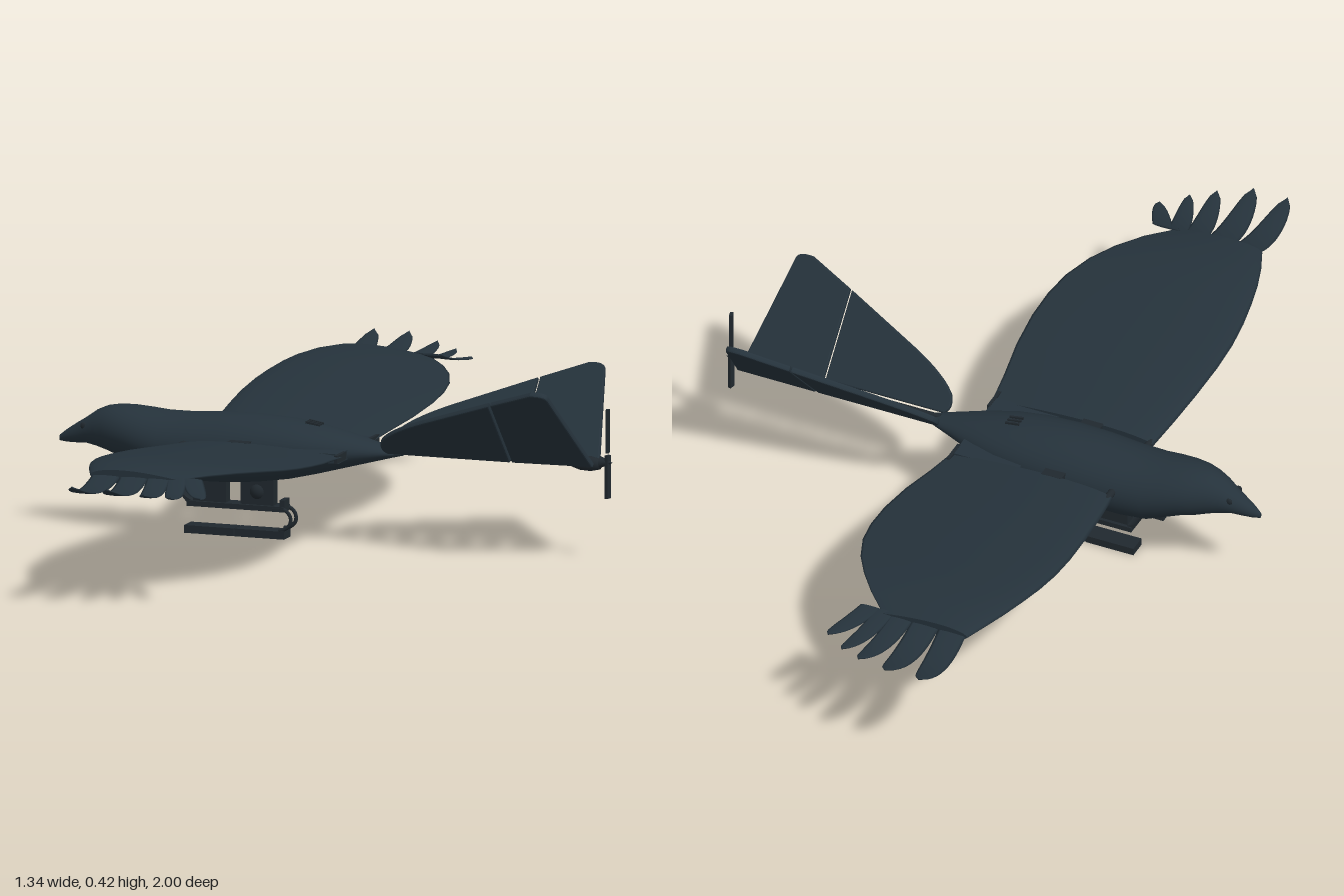
import * as THREE from 'three';

const plumage = new THREE.MeshStandardMaterial({ color: 0x25323b });
plumage.name = 'dark slate plumage';
const fittings = new THREE.MeshStandardMaterial({ color: 0x20282e });
fittings.name = 'dark grey fittings';

// Closed skin over a row of cross-sections, with flat ends
function loft(rings) {
  const n = rings[0].length, pos = [], index = [];
  rings.forEach(r => r.forEach(p => pos.push(...p)));
  for (let i = 0; i < rings.length - 1; i++) {
    for (let j = 0; j < n; j++) {
      const a = i * n + j, b = i * n + (j + 1) % n;
      index.push(a, b, a + n, b, b + n, a + n);
    }
  }
  [[rings[0], true], [rings[rings.length - 1], false]].forEach(([r, first]) => {
    const base = pos.length / 3;
    r.forEach(p => pos.push(...p));
    for (let j = 1; j < n - 1; j++) {
      index.push(base, base + (first ? j + 1 : j), base + (first ? j : j + 1));
    }
  });
  // Turn the faces outwards if the sections ran the other way
  const at = k => new THREE.Vector3().fromArray(pos, index[k] * 3);
  let volume = 0;
  for (let k = 0; k < index.length; k += 3) volume += at(k).dot(at(k + 1).cross(at(k + 2)));
  if (volume < 0) index.reverse();
  const g = new THREE.BufferGeometry();
  g.setAttribute('position', new THREE.Float32BufferAttribute(pos, 3));
  g.setIndex(index);
  g.computeVertexNormals();
  return g;
}

const ring = (n, f) => Array.from({ length: n }, (_, j) => f(j / n * Math.PI * 2));

function createModel() {
  const model = new THREE.Group();
  model.name = 'birdDrone';
  const add = (name, geometry, material = fittings, x = 0, y = 0, z = 0) => {
    const mesh = new THREE.Mesh(geometry, material);
    mesh.name = name;
    mesh.position.set(x, y, z);
    model.add(mesh);
    return mesh;
  };
  const box = (name, w, h, d, x, y, z, m) => add(name, new THREE.BoxGeometry(w, h, d), m, x, y, z);
  const rod = (name, r, len, axis, x, y, z) => {
    const g = new THREE.CylinderGeometry(r, r, len, 14);
    if (axis === 'x') g.rotateZ(Math.PI / 2);
    if (axis === 'z') g.rotateX(Math.PI / 2);
    return add(name, g, fittings, x, y, z);
  };

  // Body with head and beak: x, top, bottom, half width
  const stations = [
    [-0.672, 0.203, 0.190, 0.004], [-0.655, 0.217, 0.188, 0.013], [-0.63, 0.234, 0.188, 0.022],
    [-0.605, 0.250, 0.189, 0.031], [-0.58, 0.268, 0.184, 0.042], [-0.555, 0.279, 0.177, 0.053],
    [-0.525, 0.284, 0.167, 0.066], [-0.49, 0.284, 0.158, 0.076], [-0.45, 0.281, 0.142, 0.084],
    [-0.41, 0.277, 0.125, 0.089], [-0.35, 0.277, 0.120, 0.093], [-0.27, 0.282, 0.122, 0.098],
    [-0.19, 0.283, 0.128, 0.100], [-0.11, 0.278, 0.140, 0.096], [-0.04, 0.268, 0.157, 0.086],
    [0.03, 0.253, 0.176, 0.065], [0.09, 0.238, 0.192, 0.041], [0.135, 0.226, 0.204, 0.024],
    [0.16, 0.220, 0.210, 0.012]];
  add('body', loft(stations.map(([x, top, bottom, w]) => ring(32, t =>
    [x, (top + bottom) / 2 + (top - bottom) / 2 * Math.sin(t), w * Math.cos(t)]))), plumage);

  // Wings: distance out, leading edge, trailing edge, height, thickness
  const ribs = [
    [0.11, -0.352, 0.052, 0.218, 0.036], [0.2, -0.363, 0.063, 0.228, 0.036],
    [0.3, -0.373, 0.079, 0.24, 0.036], [0.4, -0.38, 0.086, 0.252, 0.036],
    [0.48, -0.38, 0.083, 0.261, 0.036], [0.55, -0.374, 0.071, 0.269, 0.036],
    [0.62, -0.363, 0.044, 0.277, 0.036], [0.68, -0.35, 0.008, 0.282, 0.035],
    [0.74, -0.331, -0.038, 0.284, 0.033], [0.8, -0.306, -0.095, 0.281, 0.03]];
  // Finger feathers: base x, base half width, tip x, tip distance out
  const fingers = [[-0.267, 0.034, -0.277, 1.0], [-0.2, 0.034, -0.192, 1.0],
    [-0.142, 0.028, -0.113, 0.972], [-0.098, 0.024, -0.058, 0.943], [-0.062, 0.026, -0.003, 0.898]];

  for (const s of [1, -1]) {
    const side = s > 0 ? 'left' : 'right';
    add(side + 'Wing', loft(ribs.map(([z, lead, trail, y, th]) => ring(28, t => {
      const u = (1 - Math.cos(t)) / 2;
      const foil = th * 1.3 * Math.sqrt(u) * (1 - u * 0.96) * Math.sign(Math.sin(t));
      return [lead + (trail - lead) * u, y + foil, s * z];
    }))), plumage);

    fingers.forEach(([bx, w, tx, tz], i) => {
      const rings = [];
      for (let k = 0; k <= 12; k++) {
        const t = k / 12, d = (tz - 0.79) * t - 0.01;
        const half = Math.max(0.001, w * Math.sqrt(1 - t ** 2.6));
        const y = 0.28 - 0.41 * d + 2.3 * d * d;
        rings.push(ring(10, a =>
          [bx + (tx - bx) * t + half * Math.cos(a), y + 0.0025 * Math.sin(a), s * (0.8 + d)]));
      }
      add(side + 'FingerFeather' + (i + 1), loft(rings), plumage);
    });

    // Wing root: rear fairing, spars and hinge block
    box(side + 'WingRoot', 0.16, 0.022, 0.075, -0.035, 0.215, s * 0.078, plumage);
    rod(side + 'FrontSpar', 0.009, 0.06, 'z', -0.34, 0.218, s * 0.095);
    box(side + 'WingHinge', 0.05, 0.03, 0.03, -0.2, 0.222, s * 0.1);
    box(side + 'TrailingTab', 0.008, 0.018, 0.06, 0.047, 0.218, s * 0.11);

    // Eye
    const eye = add(side + 'Eye', new THREE.SphereGeometry(0.008, 14, 10), fittings, -0.605, 0.233, s * 0.027);
    eye.scale.z = 0.5;

    // V tail: fixed panel and hinged rear panel
    const panel = (name, pts) => {
      const shape = new THREE.Shape();
      pts(shape);
      const g = new THREE.ExtrudeGeometry(shape, { depth: 0.006, bevelThickness: 0.004,
        bevelSize: 0.003, bevelOffset: -0.003, bevelSegments: 2, curveSegments: 10 });
      g.translate(0, 0, -0.003);
      const mesh = add(name, g, plumage, 0, 0.22, s * 0.02);
      mesh.rotation.x = s * 0.745;
    };
    panel(side + 'TailFin', p => {
      p.moveTo(0.13, 0);
      p.lineTo(0.427, 0);
      p.lineTo(0.427, 0.213);
      p.lineTo(0.25, 0.13);
      p.quadraticCurveTo(0.155, 0.085, 0.125, 0.045);
      p.quadraticCurveTo(0.112, 0.015, 0.13, 0);
    });
    panel(side + 'TailFlap', p => {
      p.moveTo(0.432, 0);
      p.lineTo(0.628, 0.004);
      p.quadraticCurveTo(0.605, 0.12, 0.58, 0.25);
      p.quadraticCurveTo(0.577, 0.267, 0.54, 0.264);
      p.lineTo(0.432, 0.215);
    });

    // Hook joining the belly rail to the landing bar
    const hook = new THREE.CatmullRomCurve3([[-0.15, 0.07], [-0.122, 0.068], [-0.108, 0.054],
      [-0.108, 0.036], [-0.12, 0.024], [-0.135, 0.02]].map(([x, y]) => new THREE.Vector3(x, y, s * 0.018)));
    add(side + 'SkidHook', new THREE.TubeGeometry(hook, 24, 0.0045, 8));
  }

  // Tail boom, motor and propeller
  rod('tailBoom', 0.007, 0.48, 'x', 0.37, 0.222, 0);
  const motor = add('motor', new THREE.LatheGeometry([[0, -0.045], [0.009, -0.038], [0.016, -0.015],
    [0.017, 0.01], [0.012, 0.032], [0, 0.036]].map(p => new THREE.Vector2(...p)), 20), fittings, 0.605, 0.222, 0);
  motor.rotation.z = -Math.PI / 2;
  const spinner = add('spinner', new THREE.ConeGeometry(0.014, 0.03, 18), fittings, 0.652, 0.227, 0);
  spinner.rotation.z = -Math.PI / 2;
  for (const s of [1, -1]) {
    const blade = box('propellerBlade', 0.008, 0.1, 0.015, 0.655, 0.247 + s * 0.053, 0);
    blade.rotation.y = s * 0.25;
  }

  // Belly pylons, sensor ball and rail with upturned nose
  box('frontPylon', 0.08, 0.065, 0.028, -0.305, 0.1, 0);
  box('rearPylon', 0.08, 0.065, 0.028, -0.19, 0.107, 0);
  add('sensorBall', new THREE.SphereGeometry(0.022, 18, 14), fittings, -0.19, 0.105, 0);
  box('bellyRail', 0.235, 0.012, 0.044, -0.24, 0.069, 0);
  const rail = new THREE.Shape();
  rail.moveTo(-0.345, 0.063);
  rail.quadraticCurveTo(-0.37, 0.075, -0.376, 0.1);
  rail.quadraticCurveTo(-0.365, 0.082, -0.345, 0.076);
  add('railNose', new THREE.ExtrudeGeometry(rail, { depth: 0.036, bevelEnabled: false }), fittings, 0, 0, -0.018);
  box('railTail', 0.012, 0.028, 0.036, -0.128, 0.076, 0);

  // Landing bar in two halves
  for (const x of [-0.303, -0.181]) box('landingBar', 0.12, 0.018, 0.044, x, 0.009, 0);
  box('landingBarJoint', 0.02, 0.01, 0.034, -0.242, 0.009, 0);

  // Throat plate and back vents
  box('throatPlate', 0.06, 0.016, 0.06, -0.412, 0.136, 0);
  for (const z of [-0.012, 0, 0.012]) {
    const vent = box('backVent', 0.035, 0.006, 0.005, -0.055, 0.271, z);
    vent.rotation.z = -0.17;
  }
  return model;
}

export { createModel };
